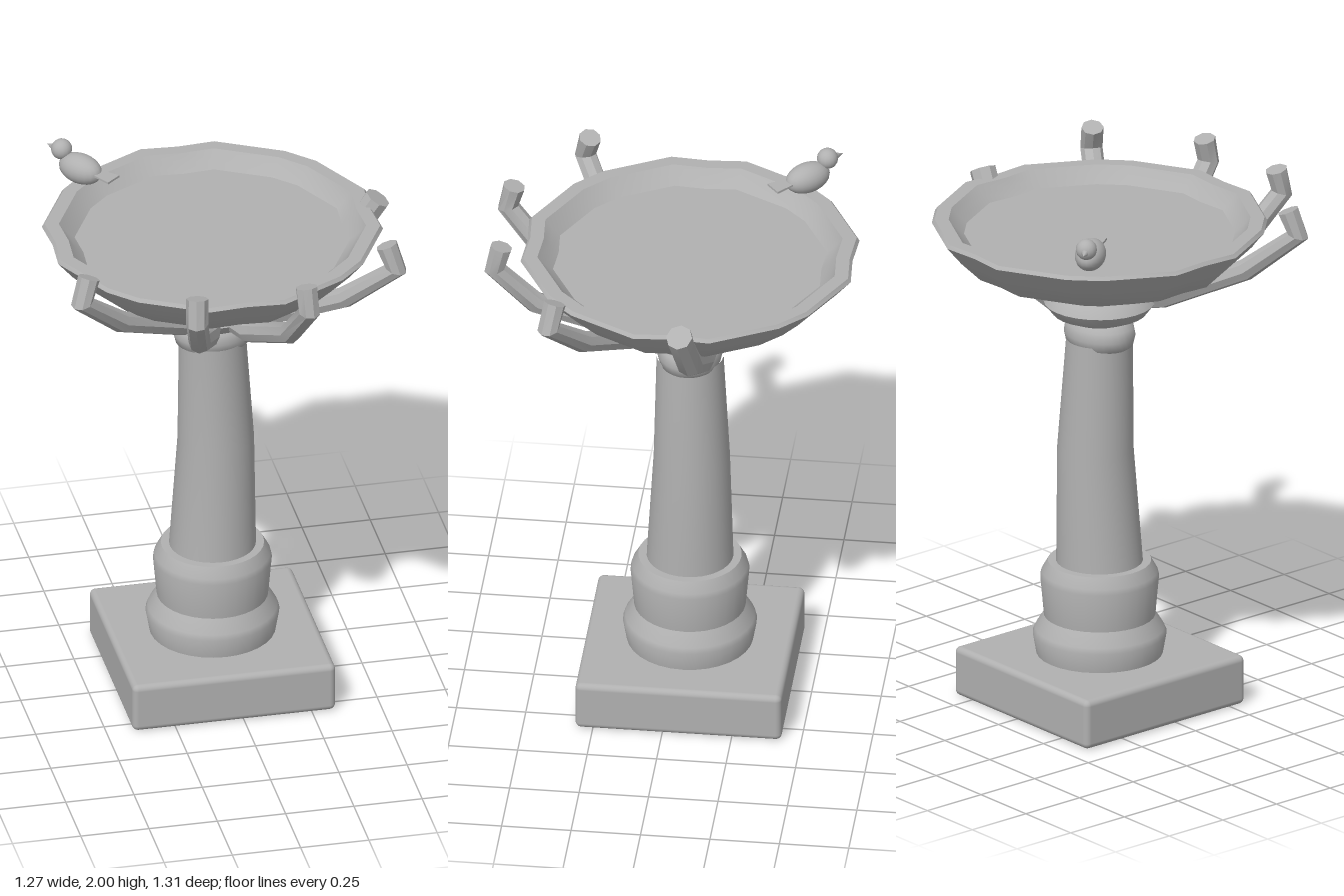
import * as THREE from 'three';
import { toCreasedNormals } from 'three/addons/utils/BufferGeometryUtils.js';
import { RoundedBoxGeometry } from 'three/addons/geometries/RoundedBoxGeometry.js';

const V = (x, y, z) => new THREE.Vector3(x, y, z);

export function createModel() {
  const root = new THREE.Group();
  root.name = 'birdBath';
  const stone = new THREE.MeshStandardMaterial({ color: 0xb0b0b0 });
  stone.name = 'stone grey';

  // Everything but the bird is built around the pedestal axis
  const bath = new THREE.Group();
  bath.name = 'bath';
  bath.position.set(-0.035, 0, -0.058);
  root.add(bath);

  const add = (parent, name, geometry, x = 0, y = 0, z = 0) => {
    const mesh = new THREE.Mesh(geometry, stone);
    mesh.name = name;
    mesh.position.set(x, y, z);
    parent.add(mesh);
    return mesh;
  };
  const lathe = (profile, segments, crease = 0.6) =>
    toCreasedNormals(new THREE.LatheGeometry(profile.map(([r, y]) => new THREE.Vector2(r, y)), segments), crease);

  // Square plinth and stepped collar
  add(bath, 'plinth', new RoundedBoxGeometry(0.743, 0.185, 0.743, 3, 0.022), 0, 0.0975, 0);
  add(bath, 'collar', lathe([
    [0, 0.18], [0.225, 0.18], [0.24, 0.265], [0.232, 0.285], [0.2, 0.335],
    [0.213, 0.48], [0.208, 0.5], [0.185, 0.54], [0, 0.54],
  ], 32));

  // Column with a gentle bend halfway up
  const column = new THREE.LatheGeometry([[0.156, 0.53], [0.137, 0.97], [0.12, 1.39]]
    .map(([r, y]) => new THREE.Vector2(r, y)), 32);
  const cp = column.attributes.position;
  for (let i = 0; i < cp.count; i++) {
    const bend = Math.abs(cp.getY(i) - 0.97) < 0.01 ? 1 : 0;
    cp.setX(i, cp.getX(i) + bend * 0.014);
    cp.setZ(i, cp.getZ(i) - bend * 0.008);
  }
  column.computeVertexNormals();
  add(bath, 'column', toCreasedNormals(column, 0.6));

  // Oval wrist bead and flattened palm under the bowl
  const bead = add(bath, 'neckBead', lathe([
    [0, 1.36], [0.11, 1.36], [0.133, 1.375], [0.142, 1.41], [0.135, 1.445], [0.11, 1.465], [0, 1.465],
  ], 28, 1));
  bead.scale.z = 0.83;
  add(bath, 'palm', lathe([
    [0, 1.455], [0.1, 1.46], [0.17, 1.49], [0.2, 1.53], [0.175, 1.565], [0.12, 1.59], [0, 1.6],
  ], 28, 1));

  // Shallow basin: a lathe whose sides are respaced into an uneven polygon
  const angles = [0, 13, 38.6, 51.4, 77];
  const radii = [0.975, 1.017, 1, 1, 1.017];
  const basinProfile = [
    [0, 1.59], [0.2, 1.592], [0.27, 1.61], [0.47, 1.69], [0.545, 1.765], [0.6, 1.832],
    [0.59, 1.845], [0.54, 1.845], [0.515, 1.815], [0.485, 1.79], [0, 1.79],
  ];
  const basin = new THREE.LatheGeometry(basinProfile.map(([r, y]) => new THREE.Vector2(r, y)), 20);
  const bp = basin.attributes.position;
  for (let i = 0; i < bp.count; i++) {
    const s = Math.floor(i / basinProfile.length);
    const [r, y] = basinProfile[i % basinProfile.length];
    const a = THREE.MathUtils.degToRad(angles[s % 5] + 90 * Math.floor(s / 5));
    bp.setXYZ(i, Math.sin(a) * r * radii[s % 5], y, Math.cos(a) * r * radii[s % 5]);
  }
  basin.computeVertexNormals();
  add(bath, 'basin', toCreasedNormals(basin, 0.45));

  // Eight-sided finger swept along a bent path with mitred joints
  const finger = (path, r) => {
    const last = path.length - 1;
    const g = new THREE.CylinderGeometry(1, 1, 1, 8, last);
    const p = g.attributes.position;
    const run = path[last].clone().sub(path[0]);
    const side = V(0, 1, 0).cross(run).normalize();
    const dir = (i) => path[i + 1].clone().sub(path[i]).normalize();
    for (let i = 0; i < p.count; i++) {
      const k = Math.round((p.getY(i) + 0.5) * last);
      const t = V(0, 0, 0);
      if (k > 0) t.add(dir(k - 1));
      if (k < last) t.add(dir(k));
      t.normalize();
      const a = side.clone().addScaledVector(t, -side.dot(t)).normalize();
      const b = a.clone().cross(t);
      const v = path[k].clone().addScaledVector(a, p.getX(i) * r).addScaledVector(b, p.getZ(i) * r);
      p.setXYZ(i, v.x, v.y, v.z);
    }
    return toCreasedNormals(g, 0.4);
  };

  // Two mirrored pairs of fingers; z is measured from the bath axis
  const zo = 0.058;
  for (const [name, s] of [['left', 1], ['right', -1]]) {
    add(bath, name + 'FrontFinger', finger([
      V(s * 0.03, 1.52, 0.04 + zo), V(s * 0.075, 1.55, 0.22 + zo), V(s * 0.165, 1.68, 0.48 + zo),
      V(s * 0.205, 1.84, 0.62 + zo), V(s * 0.2, 1.93, 0.598 + zo),
    ], 0.04));
    add(bath, name + 'SideFinger', finger([
      V(s * 0.02, 1.525, 0.02 + zo), V(s * 0.15, 1.545, 0.11 + zo), V(s * 0.41, 1.685, 0.28 + zo),
      V(s * 0.575, 1.84, 0.385 + zo), V(s * 0.545, 1.93, 0.365 + zo),
    ], 0.04));
  }
  add(bath, 'thumb', finger([
    V(0.13, 1.5, -0.125 + zo), V(0.24, 1.525, -0.125 + zo), V(0.5, 1.68, -0.115 + zo), V(0.613, 1.862, -0.09 + zo),
  ], 0.048));

  // Small bird on the back rim; its local +z is forward
  const bird = new THREE.Group();
  bird.name = 'bird';
  bird.position.set(-0.435, 1.915, -0.435);
  bird.rotation.y = Math.PI + 0.7;
  root.add(bird);
  add(bird, 'birdBody', new THREE.SphereGeometry(1, 20, 14)).scale.set(0.055, 0.055, 0.088);
  add(bird, 'birdHead', new THREE.SphereGeometry(0.038, 16, 12), 0, 0.051, 0.085);
  const beak = new THREE.ConeGeometry(0.016, 0.04, 8).rotateX(Math.PI / 2);
  add(bird, 'birdBeak', beak, 0, 0.049, 0.132);

  // Flat tail that widens backwards
  const tail = new THREE.BoxGeometry(0.066, 0.008, 0.13);
  const tp = tail.attributes.position;
  for (let i = 0; i < tp.count; i++) if (tp.getZ(i) > 0) tp.setX(i, tp.getX(i) * 0.45);
  tail.computeVertexNormals();
  add(bird, 'birdTail', tail, 0, 0.005, -0.085);

  return root;
}
